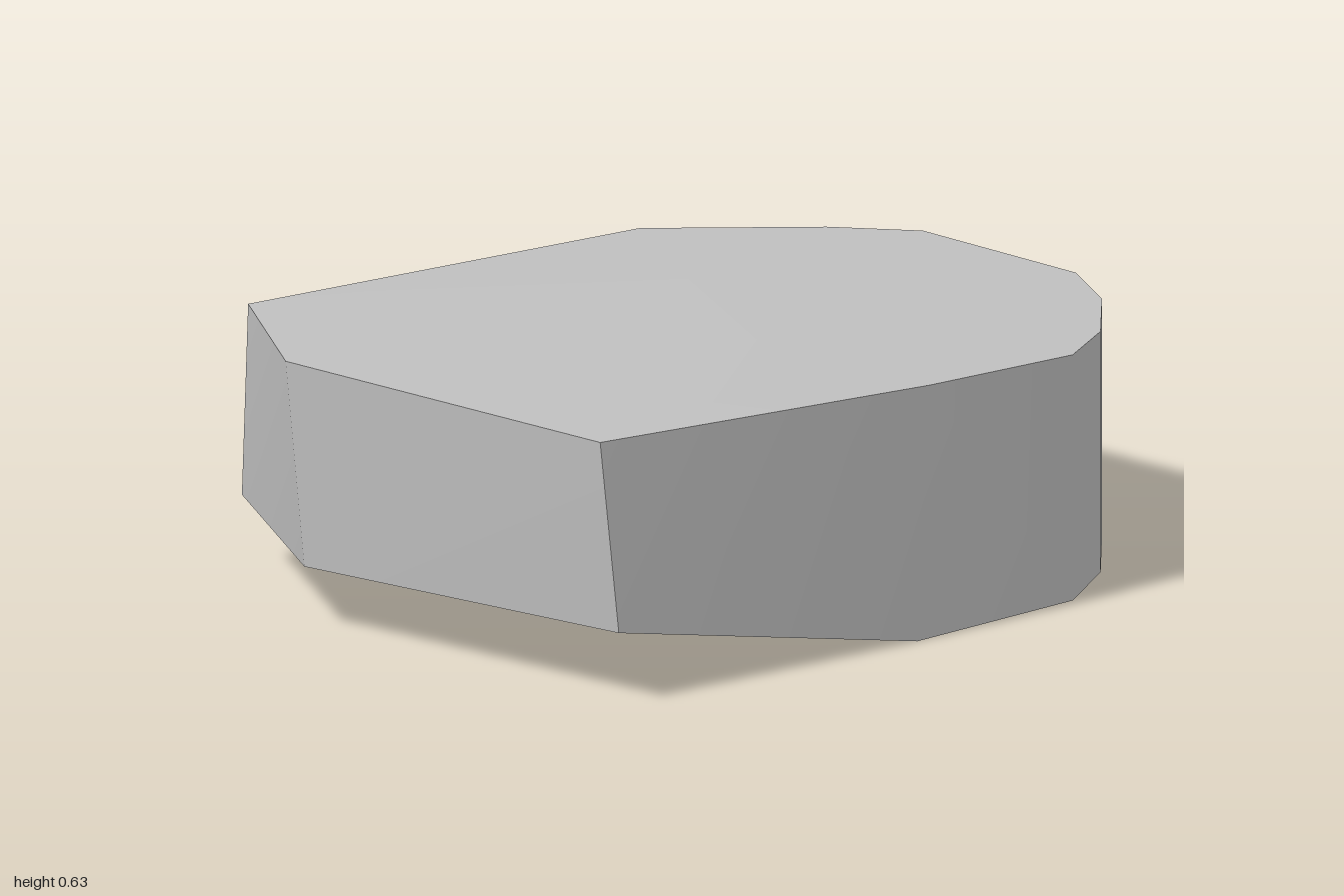
import * as THREE from 'three';
import { ConvexGeometry } from 'three/addons/geometries/ConvexGeometry.js';
import { toCreasedNormals } from 'three/addons/utils/BufferGeometryUtils.js';

// Upper rim corners: x, y, z
const topRim = [
  [-0.24, 0.59, -1], [0.26, 0.583, -0.99], [0.46, 0.578, -0.875], [0.67, 0.578, -0.66],
  [0.79, 0.582, -0.45], [0.8, 0.597, 0.02], [0.72, 0.624, 1], [-0.3, 0.63, 0.99],
  [-0.78, 0.614, 0.63], [-0.74, 0.58, -0.59], [-0.44, 0.583, -0.89],
];

// Lower rim corners, raised towards the front
const bottomRim = [
  [-0.24, 0, -1], [0.26, 0.012, -0.99], [0.46, 0.018, -0.875], [0.67, 0.013, -0.66],
  [0.79, 0.006, -0.45], [0.79, 0, 0.05], [0.73, 0.17, 0.95], [-0.28, 0.145, 0.95],
  [-0.8, 0.163, 0.63], [-0.74, 0.02, 0.25], [-0.74, 0.012, -0.59], [-0.64, 0.07, -0.78],
  [-0.44, 0, -0.89],
];

// Lowest point of the sloping front underside
const keel = [-0.25, 0.02, 0.53];

export function createModel() {
  const model = new THREE.Group();
  model.name = 'stone';

  const grey = new THREE.MeshStandardMaterial({ color: 0xc0c0c0 });
  grey.name = 'light grey';

  // Faceted slab: soft round the curved back, sharp at the corners
  const points = [...topRim, ...bottomRim, keel].map((p) => new THREE.Vector3(...p));
  const slab = new THREE.Mesh(toCreasedNormals(new ConvexGeometry(points), 0.54), grey);
  slab.name = 'slab';
  model.add(slab);
  return model;
}
